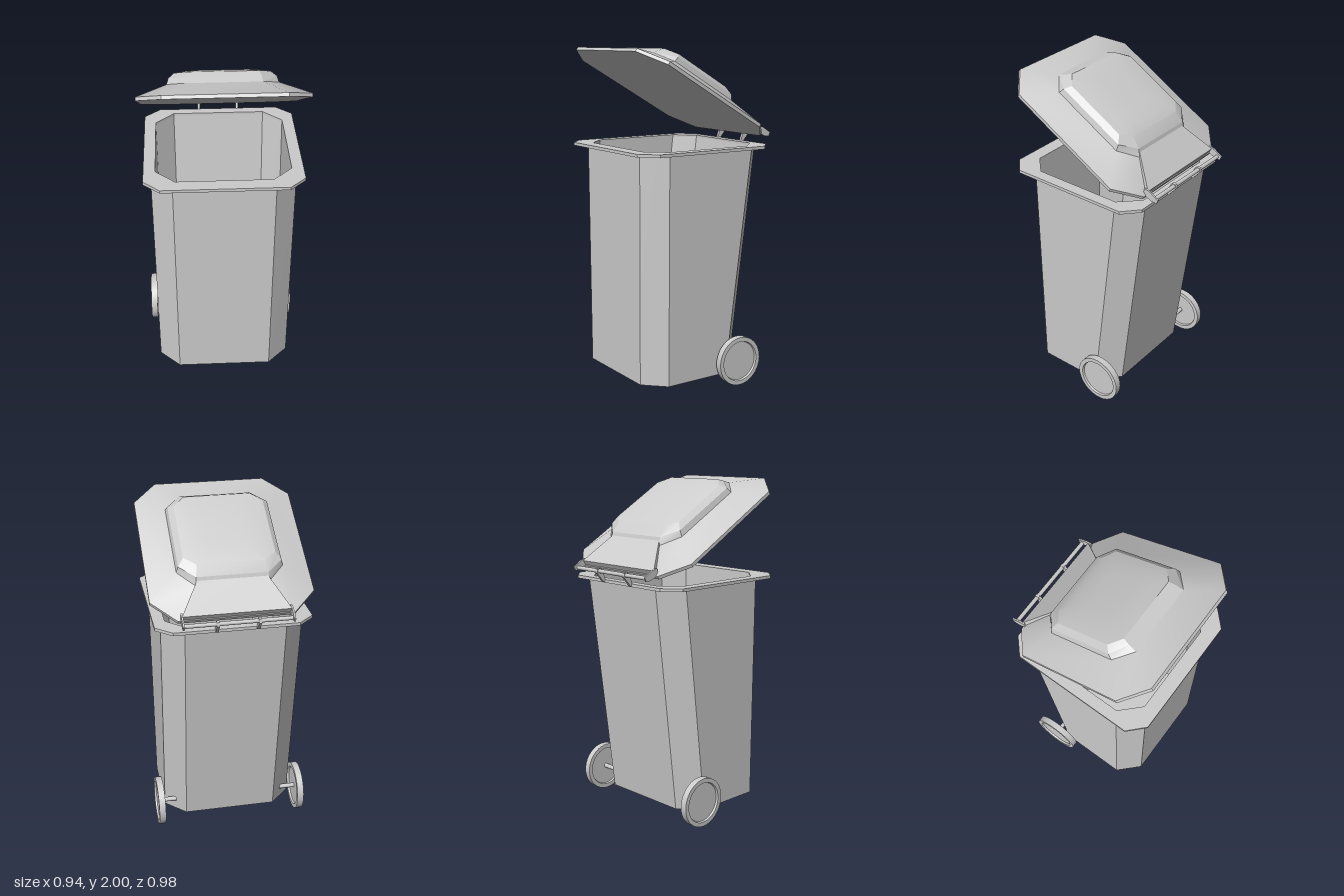
import * as THREE from 'three';
import { toCreasedNormals } from 'three/addons/utils/BufferGeometryUtils.js';
import { ConvexGeometry } from 'three/addons/geometries/ConvexGeometry.js';

const material = new THREE.MeshStandardMaterial({ color: 0xcccccc });

function addMesh(parent, name, geometry) {
  const mesh = new THREE.Mesh(geometry, material);
  mesh.name = name;
  parent.add(mesh);
  return mesh;
}

// Rectangle with cut corners at height y: half width x, flat half width xc,
// back zb, back corner zbc, front corner zfc, front zf
function octagon(y, x, xc, zb, zbc, zfc, zf) {
  const half = [[xc, zf], [x, zfc], [x, zbc], [xc, zb]];
  const mirrored = half.map(([px, pz]) => [-px, pz]).reverse();
  return [...half, ...mirrored].map(([px, pz]) => new THREE.Vector3(px, y, pz));
}

// Skin a list of equal rings, optionally closing both ends
function loft(rings, capped) {
  const out = [];
  const n = rings[0].length;
  const tri = (...pts) => pts.forEach((p) => out.push(p.x, p.y, p.z));
  for (let r = 0; r < rings.length - 1; r++) {
    const a = rings[r], b = rings[r + 1];
    for (let i = 0; i < n; i++) {
      const j = (i + 1) % n;
      tri(a[i], a[j], b[j]);
      tri(a[i], b[j], b[i]);
    }
  }
  if (capped) {
    const first = rings[0], last = rings[rings.length - 1];
    for (let i = 1; i < n - 1; i++) {
      tri(first[0], first[i + 1], first[i]);
      tri(last[0], last[i], last[i + 1]);
    }
  }
  const geometry = new THREE.BufferGeometry();
  geometry.setAttribute('position', new THREE.Float32BufferAttribute(out, 3));
  return toCreasedNormals(geometry, 0.3);
}

// Flat plate drawn in (z, y), centred on the given x
function sidePlate(points, thickness, x) {
  const shape = new THREE.Shape(points.map(([z, y]) => new THREE.Vector2(-z, y)));
  const geometry = new THREE.ExtrudeGeometry(shape, { depth: thickness, bevelEnabled: false });
  geometry.translate(0, 0, -thickness / 2);
  geometry.rotateY(Math.PI / 2);
  geometry.translate(x, 0, 0);
  return geometry;
}

function buildBin(model) {
  // Hollow body, its back leaning outward towards the top
  addMesh(model, 'body', loft([
    octagon(0.07, 0.4, 0.28, -0.22, -0.1, 0.31, 0.43),
    octagon(1.42, 0.412, 0.29, -0.39, -0.27, 0.31, 0.43),
    octagon(1.42, 0.385, 0.275, -0.365, -0.255, 0.295, 0.405),
    octagon(0.09, 0.375, 0.267, -0.195, -0.085, 0.295, 0.405),
  ], true));

  // Flat rim around the opening
  const rim = (y, inner) => (inner
    ? octagon(y, 0.385, 0.275, -0.365, -0.255, 0.295, 0.405)
    : octagon(y, 0.453, 0.36, -0.42, -0.335, 0.4, 0.49));
  addMesh(model, 'rim', loft(
    [rim(1.416, true), rim(1.416), rim(1.434), rim(1.434, true), rim(1.416, true)], false));
}

function buildLid(model) {
  const lid = new THREE.Group();
  lid.name = 'lid';
  lid.position.set(0, 1.48, -0.4);
  lid.rotation.x = -Math.PI / 6;
  model.add(lid);

  // Sloping border rising to a domed centre panel
  addMesh(lid, 'lidPanel', loft([
    octagon(0, 0.47, 0.33, 0, 0.14, 0.875, 1.015),
    octagon(0.02, 0.47, 0.33, 0, 0.14, 0.875, 1.012),
    octagon(0.088, 0.305, 0.21, 0.18, 0.283, 0.745, 0.843),
    octagon(0.122, 0.295, 0.205, 0.215, 0.295, 0.735, 0.81),
    octagon(0.15, 0.263, 0.195, 0.28, 0.335, 0.715, 0.78),
    octagon(0.162, 0.2, 0.14, 0.34, 0.39, 0.66, 0.72),
    octagon(0.167, 0.11, 0.07, 0.42, 0.45, 0.59, 0.63),
  ], true));

  // Raised panel running from the dome back to the hinge
  const corners = [];
  for (const s of [-1, 1]) {
    for (const [x, y, z] of [[0.19, 0.11, 0.225], [0.2, 0.05, 0.2], [0.31, 0.05, 0.005],
      [0.31, 0.015, 0.005], [0.17, 0.125, 0.26], [0.17, 0.03, 0.26]]) {
      corners.push(new THREE.Vector3(s * x, y, z));
    }
  }
  addMesh(lid, 'hingePanel', new ConvexGeometry(corners));
}

function buildHinge(model) {
  const hinge = new THREE.Group();
  hinge.name = 'hinge';
  model.add(hinge);

  // Handle bar across the back
  const bar = new THREE.CylinderGeometry(0.012, 0.012, 0.62, 12);
  bar.rotateZ(Math.PI / 2);
  bar.translate(0, 1.487, -0.46);
  addMesh(hinge, 'handleBar', bar);

  for (const s of [-1, 1]) {
    // Arms joining the bar to the lid
    addMesh(hinge, 'handleArm', sidePlate(
      [[-0.39, 1.5], [-0.4, 1.54], [-0.435, 1.53], [-0.49, 1.495], [-0.48, 1.472], [-0.45, 1.475]],
      0.01, s * 0.31));
    // Lugs joining the bar to the rim
    addMesh(hinge, 'hingeLug', sidePlate(
      [[-0.41, 1.42], [-0.428, 1.42], [-0.478, 1.478], [-0.472, 1.5], [-0.448, 1.502], [-0.435, 1.485]],
      0.016, s * 0.118));
  }
}

function buildWheels(model) {
  // Disc with a raised tyre on both faces
  const profile = [[0, 0.012], [0.118, 0.012], [0.122, 0], [0.148, 0],
    [0.148, 0.04], [0.122, 0.04], [0.118, 0.028], [0, 0.028]];
  const lathe = new THREE.LatheGeometry(profile.map(([r, y]) => new THREE.Vector2(r, y)), 40);
  const wheel = toCreasedNormals(lathe, 0.5);

  for (const s of [-1, 1]) {
    const group = new THREE.Group();
    group.name = s > 0 ? 'leftWheel' : 'rightWheel';
    group.position.set(s * 0.42, 0.148, -0.167);
    group.rotation.z = -s * Math.PI / 2;
    model.add(group);
    addMesh(group, 'wheel', wheel);
    // Short axle reaching into the body
    const axle = addMesh(group, 'axle', new THREE.CylinderGeometry(0.014, 0.014, 0.1, 12));
    axle.position.y = -0.035;
  }
}

export function createModel() {
  const model = new THREE.Group();
  model.name = 'wheeledBin';
  buildBin(model);
  buildLid(model);
  buildHinge(model);
  buildWheels(model);
  return model;
}
